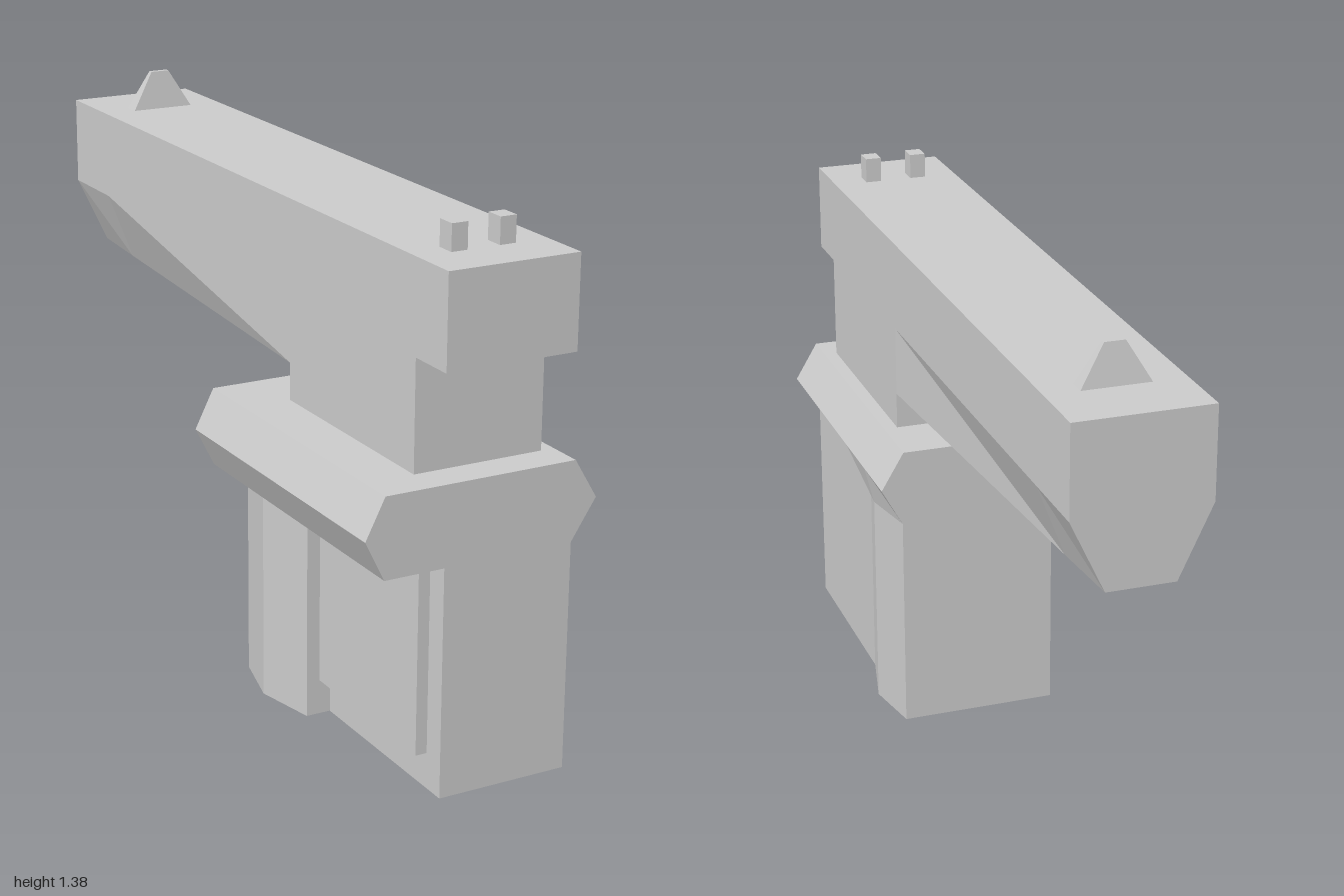
import * as THREE from 'three';

const mat = new THREE.MeshStandardMaterial({ color: 0xcccccc, flatShading: true });
const CX = 0.04; // centre line of the upper assembly

function add(group, name, geometry) {
  const mesh = new THREE.Mesh(geometry, mat);
  mesh.name = name;
  group.add(mesh);
  return mesh;
}

// Box given by its min and max on each axis
function box(group, name, [x0, x1], [y0, y1], [z0, z1]) {
  const g = new THREE.BoxGeometry(x1 - x0, y1 - y0, z1 - z0);
  g.translate((x0 + x1) / 2, (y0 + y1) / 2, (z0 + z1) / 2);
  return add(group, name, g);
}

// Solid through convex rings, each counterclockwise seen from +z, ordered back to front
function loft(rings) {
  const pos = [];
  const tri = (...pts) => pts.forEach((p) => pos.push(...p));
  const n = rings[0].length;
  for (let i = 0; i < rings.length - 1; i++) {
    for (let j = 0; j < n; j++) {
      const k = (j + 1) % n;
      const [a, b, c, d] = [rings[i][j], rings[i][k], rings[i + 1][k], rings[i + 1][j]];
      tri(a, b, c);
      tri(a, c, d);
    }
  }
  const back = rings[0], front = rings[rings.length - 1];
  for (let j = 1; j < n - 1; j++) {
    tri(back[0], back[j + 1], back[j]);
    tri(front[0], front[j], front[j + 1]);
  }
  const g = new THREE.BufferGeometry();
  g.setAttribute('position', new THREE.Float32BufferAttribute(pos, 3));
  g.computeVertexNormals();
  return g;
}

export function createModel() {
  const model = new THREE.Group();
  model.name = 'model';
  const width = [CX - 0.17, CX + 0.17];

  // Upper bar and the neck below it
  box(model, 'upperBar', width, [1.05, 1.28], [-1, 1]);
  box(model, 'neck', width, [0.77, 1.05], [0.28, 0.87]);

  // Lower bar, its underside narrowing toward the back
  add(model, 'lowerBar', loft([[-1, 0.085], [-0.79, 0.1], [0.28, 0.17]].map(([z, h]) => [
    [CX - h, 0.87, z], [CX + h, 0.87, z], [CX + 0.17, 1.05, z], [CX - 0.17, 1.05, z],
  ])));

  // Six-sided collar; its lower left edge follows the flare of the base
  add(model, 'collar', loft([[0.11, 0.25], [0.27, 0.28], [0.44, 0.24], [0.96, 0.24]].map(([z, x]) => [
    [-0.255, 0.575, z], [x, 0.575, z], [0.305, 0.675, z],
    [0.245, 0.775, z], [-0.255, 0.775, z], [-0.305, 0.675, z],
  ])));

  // Base: plan outline (x, z) raised to the collar
  const plan = [
    [-0.1, 0.96], [0.24, 0.96], [0.24, 0.44], [0.28, 0.27], [0.25, 0.11],
    [-0.16, 0.11], [-0.2, 0.27], [-0.165, 0.435], [-0.1, 0.435],
  ];
  const shape = new THREE.Shape(plan.map(([x, z]) => new THREE.Vector2(x, -z)));
  const base = new THREE.ExtrudeGeometry(shape, { depth: 0.575, bevelEnabled: false });
  base.rotateX(-Math.PI / 2);
  add(model, 'base', base);

  // Raised panel on the right of the base
  box(model, 'sidePanel', [-0.13, -0.1], [0.09, 0.575], [0.435, 0.9]);

  // Pair of posts at the front
  for (const s of [-1, 1]) {
    const x = CX + s * 0.063;
    box(model, s < 0 ? 'rightPost' : 'leftPost', [x - 0.021, x + 0.021], [1.28, 1.345], [0.82, 0.87]);
  }

  // Tapered blade at the back: a box with its top drawn in
  const blade = new THREE.BoxGeometry(0.17, 0.1, 0.045);
  const p = blade.attributes.position;
  for (let i = 0; i < p.count; i++) {
    if (p.getY(i) > 0) p.setXYZ(i, p.getX(i) * 0.3, p.getY(i), p.getZ(i) * 0.3);
  }
  blade.computeVertexNormals();
  add(model, 'blade', blade).position.set(CX, 1.33, -0.813);

  return model;
}
